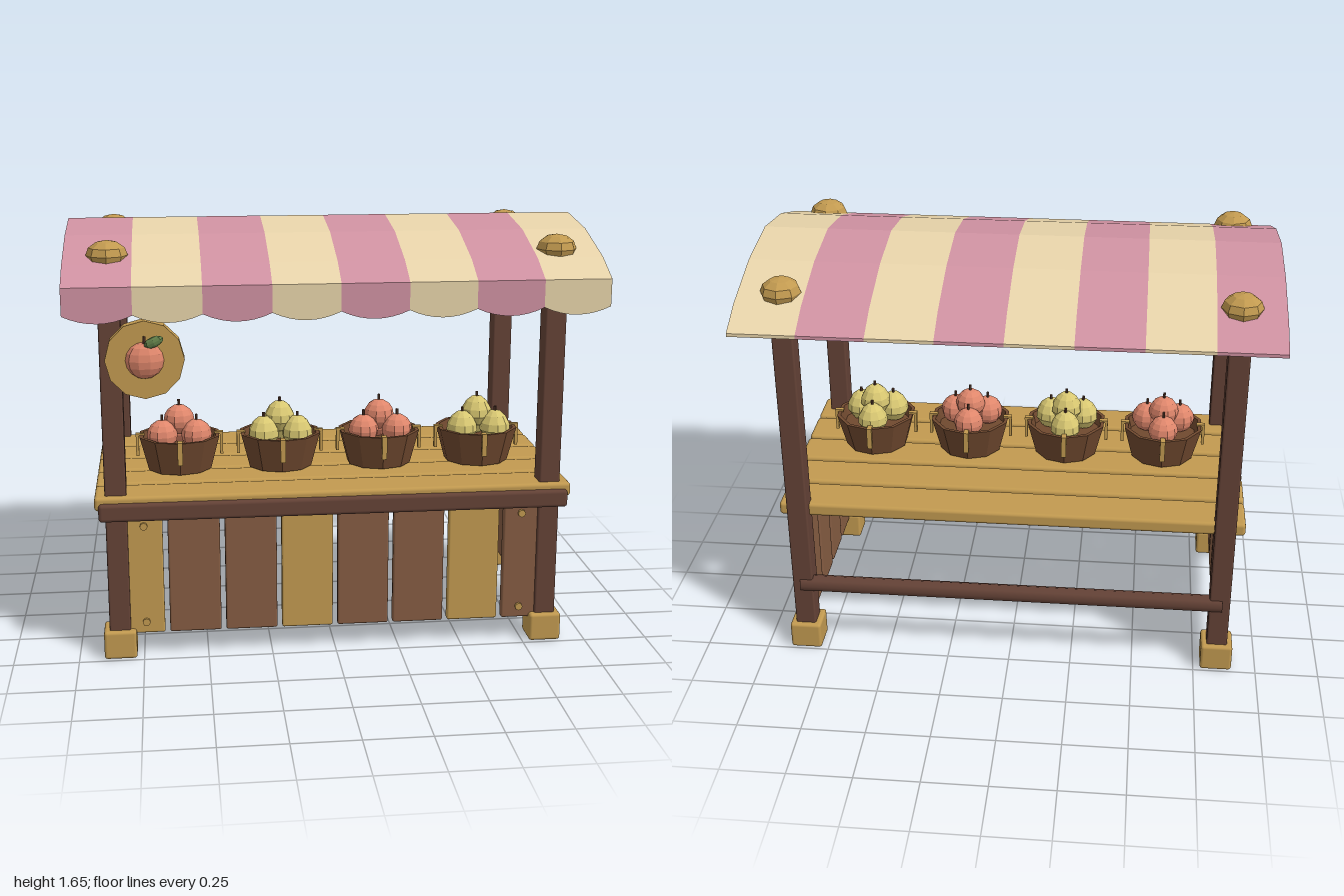
import * as THREE from 'three';
import { RoundedBoxGeometry } from 'three/addons/geometries/RoundedBoxGeometry.js';

const mat = (color, flatShading = false) => {
  const m = new THREE.MeshStandardMaterial({ color });
  m.flatShading = flatShading;
  return m;
};

export function createModel() {
  const stall = new THREE.Group();
  stall.name = 'marketStall';

  const M = {
    post: mat(0x644236), brown: mat(0x855c42), gold: mat(0xc29a50),
    pink: mat(0xd092a2), cream: mat(0xe8d4aa),
    knob: mat(0xc29a50, true), basket: mat(0x70492f, true),
    apple: mat(0xe0876c, true), pear: mat(0xd9c872, true),
    leaf: mat(0x63804a, true), stem: mat(0x57392c, true),
  };
  M.basket.side = THREE.DoubleSide;

  const add = (parent, name, geometry, material, x = 0, y = 0, z = 0) => {
    const mesh = new THREE.Mesh(geometry, material);
    mesh.name = name;
    mesh.position.set(x, y, z);
    parent.add(mesh);
    return mesh;
  };
  const board = (w, h, d, bevel = 0.01) => new RoundedBoxGeometry(w, h, d, 2, bevel);

  // Corner posts with feet and faceted knobs
  for (const x of [-0.84, 0.84]) {
    for (const z of [0.425, -0.43]) {
      add(stall, 'post', board(0.082, 1.5, 0.084, 0.008), M.post, x, 0.79, z);
      add(stall, 'foot', board(0.126, 0.112, 0.126, 0.012), M.gold, x, 0.056, z);
      const knob = add(stall, 'postKnob', new THREE.SphereGeometry(0.077, 8, 6), M.knob, x, 1.565, z);
      knob.scale.y = 0.72;
    }
  }

  // Rails under the canopy and across the back
  for (const z of [0.425, -0.43]) {
    add(stall, 'canopyRail', board(1.66, 0.055, 0.055, 0.008), M.post, 0, 1.45, z);
  }
  const backRail = add(stall, 'backRail', new THREE.CylinderGeometry(0.034, 0.034, 1.7, 8), M.post, 0, 0.297, -0.452);
  backRail.rotation.z = Math.PI / 2;

  // Counter top and its front beam
  for (let i = 0; i < 5; i++) {
    add(stall, 'counterPlank', board(1.84, 0.055, 0.171, 0.014), M.gold, 0, 0.63, 0.405 - 0.188 * i);
  }
  add(stall, 'counterBeam', board(1.81, 0.07, 0.098, 0.014), M.post, 0, 0.599, 0.461);

  // Front panel, with every third plank in the light wood
  for (let i = 0; i < 8; i++) {
    const x = (i - 3.5) * 0.219;
    add(stall, 'frontPlank', board(0.2, 0.52, 0.036, 0.008), i % 3 === 0 ? M.gold : M.brown, x, 0.352, 0.438);
  }
  for (const x of [-0.738, 0.735]) {
    for (const y of [0.14, 0.53]) {
      const nail = add(stall, 'nail', new THREE.CylinderGeometry(0.015, 0.015, 0.018, 8), M.gold, x, y, 0.459);
      nail.rotation.x = Math.PI / 2;
    }
  }

  // Side panels
  for (const x of [-0.845, 0.845]) {
    for (let i = 0; i < 4; i++) {
      add(stall, 'sidePlank', board(0.036, 0.52, 0.176, 0.008), M.brown, x, 0.352, 0.303 - 0.1945 * i);
    }
  }

  // Arched canopy in eight stripes, each with a scalloped valance
  const arch = [[-0.625, 1.478], [-0.5, 1.541], [-0.255, 1.618], [0, 1.654], [0.255, 1.618], [0.5, 1.541], [0.625, 1.478]];
  const thickness = 0.013;
  const section = new THREE.Shape([
    ...arch.map(([z, y]) => new THREE.Vector2(z, y)),
    ...arch.slice().reverse().map(([z, y]) => new THREE.Vector2(z, y - thickness)),
  ]);
  const stripe = new THREE.ExtrudeGeometry(section, { depth: 0.25, bevelEnabled: false });
  stripe.rotateY(Math.PI / 2);

  const flap = new THREE.Shape();
  flap.moveTo(0, 1.478);
  flap.lineTo(0, 1.376);
  flap.quadraticCurveTo(0.125, 1.318, 0.25, 1.376);
  flap.lineTo(0.25, 1.478);
  const valance = new THREE.ExtrudeGeometry(flap, { depth: 0.014, bevelEnabled: false, curveSegments: 8 });

  for (let i = 0; i < 8; i++) {
    const cloth = i % 2 ? M.cream : M.pink;
    add(stall, 'canopyStripe', stripe, cloth, -1 + 0.25 * i);
    add(stall, 'valance', valance, cloth, -1 + 0.25 * i, 0, 0.611);
  }

  // Fruit pieces shared by the baskets and the sign
  const fruitGeo = new THREE.SphereGeometry(0.061, 10, 8);
  const stemGeo = new THREE.CylinderGeometry(0.006, 0.006, 0.04, 6);
  const pearGeo = new THREE.LatheGeometry(
    [[0, -0.06], [0.04, -0.05], [0.062, -0.015], [0.059, 0.015], [0.042, 0.045], [0.022, 0.062], [0, 0.066]]
      .map(([r, y]) => new THREE.Vector2(r, y)), 10);

  // Baskets: tapered tub, four clips and a small pile of fruit
  const tub = new THREE.LatheGeometry(
    [[0, 0], [0.13, 0], [0.166, 0.137], [0.151, 0.137], [0.139, 0.09], [0, 0.09]]
      .map(([r, y]) => new THREE.Vector2(r, y)), 10);
  const pile = [[-0.068, 0.145, 0.045], [0.068, 0.145, 0.045], [0, 0.145, -0.075], [0, 0.197, 0.002]];
  for (let i = 0; i < 4; i++) {
    const basket = new THREE.Group();
    basket.name = 'fruitBasket';
    basket.position.set(-0.591 + 0.4037 * i, 0.662, 0.11);
    add(basket, 'tub', tub, M.basket);
    for (let k = 0; k < 4; k++) {
      const clip = new THREE.Group();
      clip.name = 'basketClip';
      clip.rotation.y = k * Math.PI / 2;
      add(clip, 'clipTab', new THREE.BoxGeometry(0.02, 0.085, 0.012), M.gold, 0, 0.094, 0.168);
      add(clip, 'clipTop', new THREE.BoxGeometry(0.02, 0.01, 0.035), M.gold, 0, 0.138, 0.157);
      basket.add(clip);
    }
    for (const [x, y, z] of pile) {
      const isPear = i % 2 === 1;
      add(basket, isPear ? 'pear' : 'apple', isPear ? pearGeo : fruitGeo, isPear ? M.pear : M.apple, x, y, z);
      add(basket, 'fruitStem', stemGeo, M.stem, x, y + 0.062, z);
    }
    stall.add(basket);
  }

  // Round hanging sign carrying a fruit and leaf
  const sign = new THREE.Group();
  sign.name = 'hangingSign';
  sign.position.set(-0.712, 1.2, 0.537);
  const disc = add(sign, 'signDisc', new THREE.CylinderGeometry(0.145, 0.145, 0.055, 12), M.knob);
  disc.rotation.x = Math.PI / 2;
  add(sign, 'signHanger', new THREE.BoxGeometry(0.014, 0.09, 0.014), M.post, 0, 0.165, -0.013);
  const fruit = add(sign, 'signFruit', fruitGeo, M.apple, 0, 0, 0.03);
  fruit.scale.set(1.15, 1.12, 0.72);
  add(sign, 'signStem', stemGeo, M.stem, 0, 0.07, 0.04);
  const leaf = add(sign, 'signLeaf', new THREE.SphereGeometry(0.038, 8, 6), M.leaf, 0.034, 0.071, 0.052);
  leaf.scale.set(1, 0.52, 0.4);
  leaf.rotation.z = 0.42;
  stall.add(sign);

  return stall;
}
